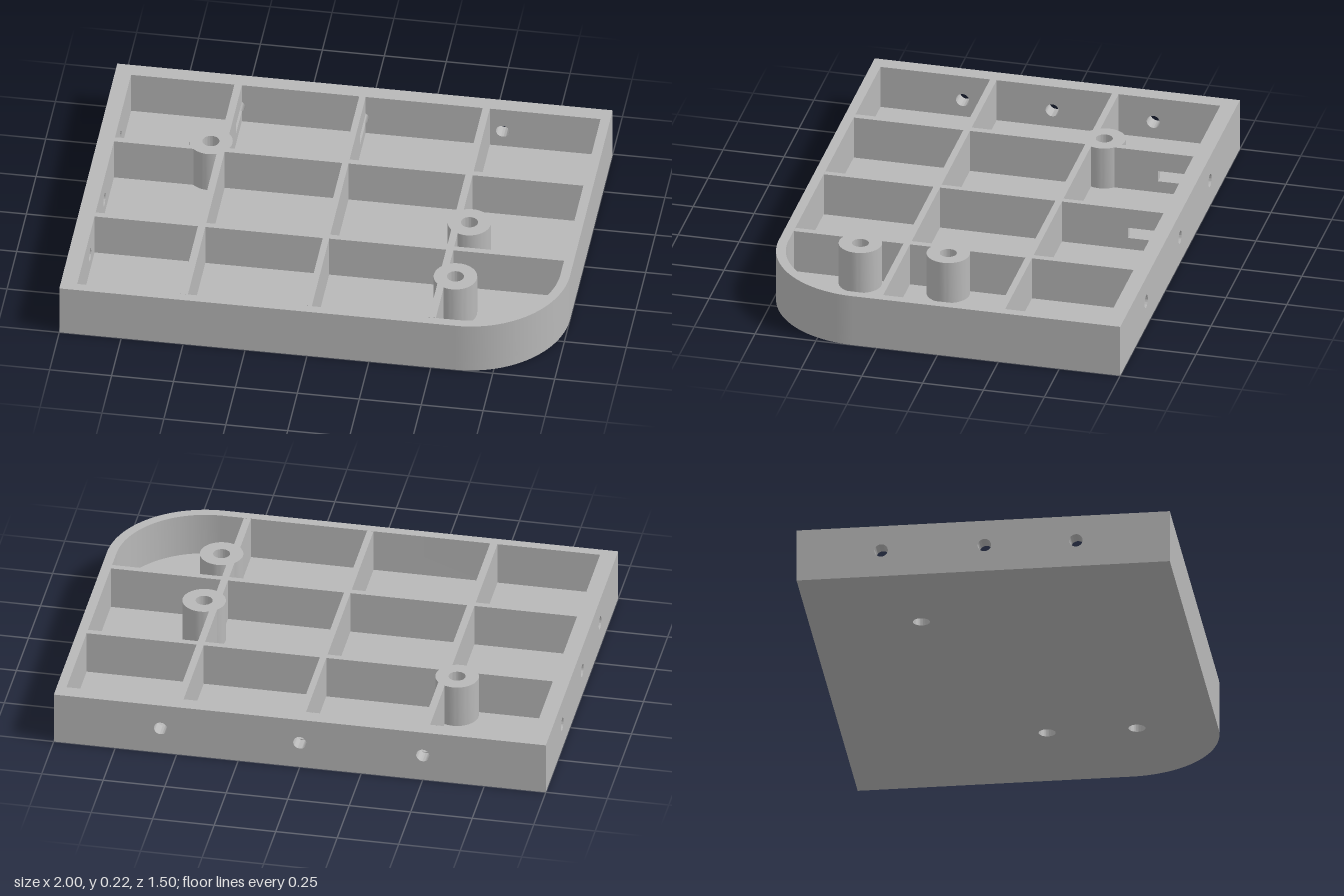
import * as THREE from 'three';
import { toCreasedNormals } from 'three/addons/utils/BufferGeometryUtils.js';

const H = 0.22, FLOOR = 0.04;              // total height, floor thickness
const HOLE_Y = 0.113, HOLE_R = 0.027;      // side drillings
const IN = { left: -0.934, right: 0.961, back: -0.685, front: 0.71 }; // inner wall faces
const BOSSES = [[-0.552, -0.303], [0.549, 0.067], [0.549, 0.428]];
const BOSS_R = 0.087, BORE_R = 0.034;

const grey = new THREE.MeshStandardMaterial({ color: 0xb8b8b8 });
grey.name = 'grey';

function circle(x, y, r) {
  return new THREE.Path().absarc(x, y, r, 0, Math.PI * 2, true);
}

function rect(x0, y0, x1, y1) {
  return new THREE.Shape([[x0, y0], [x1, y0], [x1, y1], [x0, y1]].map(p => new THREE.Vector2(...p)));
}

function extrude(shape, depth) {
  const g = new THREE.ExtrudeGeometry(shape, { depth, bevelEnabled: false, curveSegments: 32 });
  return toCreasedNormals(g, 0.5);
}

// Plan shapes use (x, -z) and rise from y0 to y1
function plan(shape, y0, y1) {
  return extrude(shape, y1 - y0).rotateX(-Math.PI / 2).translate(0, y0, 0);
}

// Side shapes use (z, y) and span x0 to x1
function side(shape, x0, x1) {
  return extrude(shape, x1 - x0).rotateY(-Math.PI / 2).translate(x1, 0, 0);
}

export function createModel() {
  const model = new THREE.Group();
  const add = (name, geometry) => {
    const mesh = new THREE.Mesh(geometry, grey);
    mesh.name = name;
    model.add(mesh);
  };

  // Floor with one rounded corner and three through bores
  const floor = new THREE.Shape();
  floor.moveTo(-1, 0.75).lineTo(-1, -0.75).lineTo(0.6, -0.75);
  floor.absarc(0.6, -0.35, 0.4, -Math.PI / 2, 0, false);
  floor.lineTo(1, 0.75);
  for (const [x, z] of BOSSES) floor.holes.push(circle(x, -z, BORE_R));
  add('floor', plan(floor, 0, FLOOR));

  // Front and right walls, joined by the rounded corner
  const wall = new THREE.Shape();
  wall.moveTo(IN.left, -0.75).lineTo(0.6, -0.75);
  wall.absarc(0.6, -0.35, 0.4, -Math.PI / 2, 0, false);
  wall.lineTo(1, -IN.back).lineTo(IN.right, -IN.back).lineTo(IN.right, -0.35);
  wall.absarc(0.6, -0.35, 0.361, 0, -Math.PI / 2, true);
  wall.lineTo(IN.left, -IN.front);
  add('frontAndRightWall', plan(wall, FLOOR, H));

  // Drilled back wall
  const back = rect(-1, FLOOR, 1, H);
  for (const x of [-0.5, 0, 0.566]) back.holes.push(circle(x, HOLE_Y, HOLE_R));
  add('backWall', extrude(back, IN.back + 0.75).translate(0, 0, -0.75));

  // Drilled left-hand wall
  const left = rect(IN.back, FLOOR, 0.75, H);
  for (const z of [-0.41, 0.005, 0.373]) left.holes.push(circle(z, HOLE_Y, HOLE_R));
  add('sideWall', side(left, -1, IN.left));

  // Ribs running front to back; two are slotted by the back drillings
  for (const [x0, x1, slotted] of [[-0.517, -0.487, true], [-0.013, 0.013, true], [0.485, 0.514, false]]) {
    const rib = new THREE.Shape();
    rib.moveTo(IN.back, FLOOR).lineTo(IN.front, FLOOR).lineTo(IN.front, H).lineTo(IN.back, H);
    if (slotted) {
      const top = HOLE_Y + 0.023, bottom = HOLE_Y - 0.023, end = IN.back + 0.145;
      rib.lineTo(IN.back, top).lineTo(end, top).lineTo(end, bottom).lineTo(IN.back, bottom);
    }
    add('lengthRib', side(rib, x0, x1));
  }

  // Ribs running left to right
  for (const [z0, z1] of [[-0.268, -0.241], [0.233, 0.26]]) {
    add('crossRib', plan(rect(IN.left, -z1, IN.right, -z0), FLOOR, H));
  }

  // Screw bosses
  for (const [x, z] of BOSSES) {
    const ring = new THREE.Shape().absarc(x, -z, BOSS_R, 0, Math.PI * 2, false);
    ring.holes.push(circle(x, -z, BORE_R));
    add('screwBoss', plan(ring, FLOOR, H));
  }

  return model;
}
